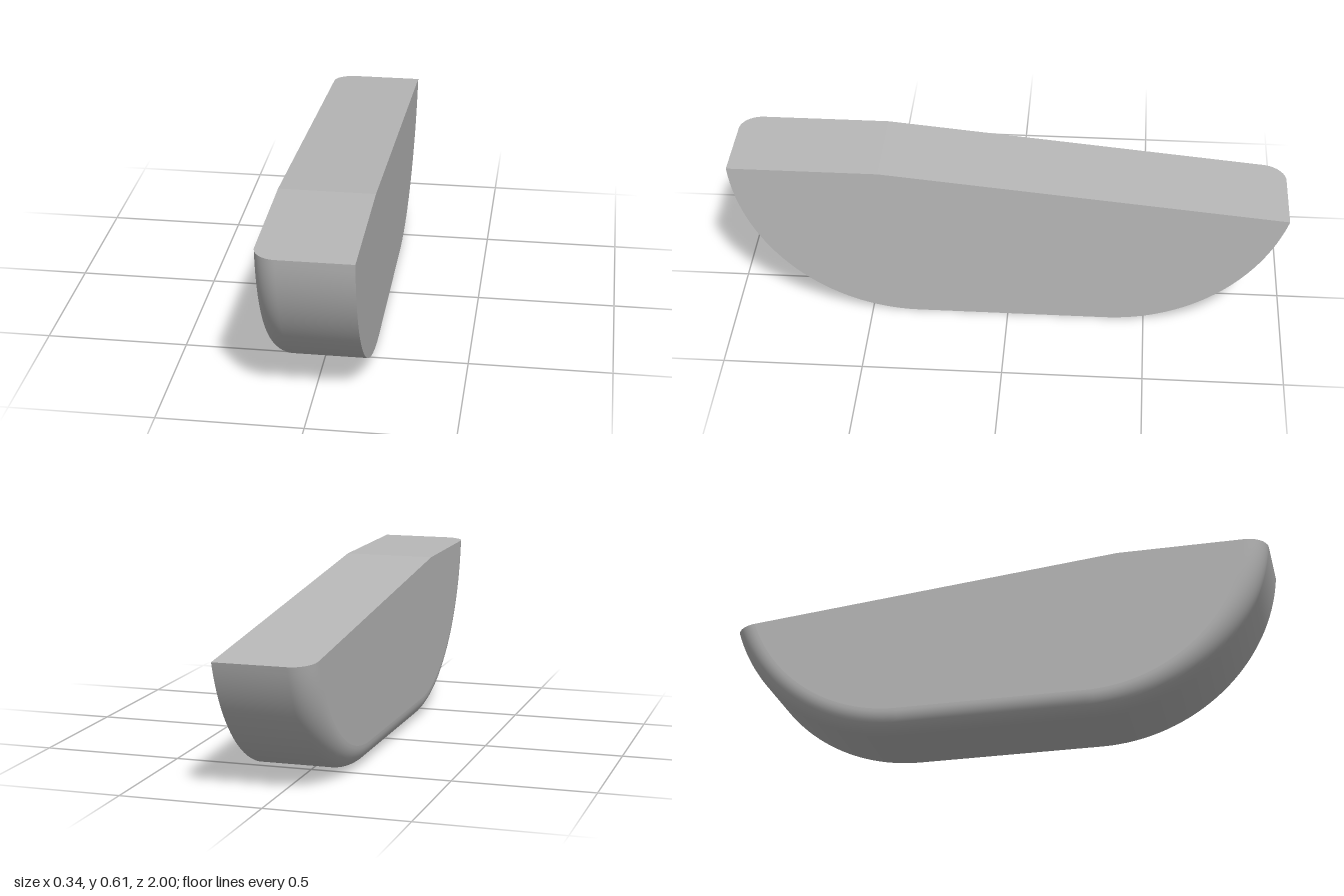
import * as THREE from 'three';

const HALF = 0.168;            // half thickness
const FILLET = 0.08;           // rounding of the underside on the -x side
const R = 0.673;               // radius of both end curves
const FRONT_Z = 0.33, BACK_Z = -0.358; // centres of the end curves
const TOP = 0.61, KINK_Z = 0.46;
const SLOPE = Math.atan(0.14 / 1.46);  // fall of the rear top face
const ARC = 32;

// Underside outline as [z, y], from front tip to back tip, inset by d
function outline(d) {
  const r = R - d, pts = [];
  const arc = (cz, a0, a1) => {
    for (let i = 0; i <= ARC; i++) {
      const a = a0 + (a1 - a0) * i / ARC;
      pts.push([cz + r * Math.cos(a), R + r * Math.sin(a)]);
    }
  };
  const lineY = TOP - (KINK_Z - BACK_Z) * Math.tan(SLOPE);
  const h = (R - lineY) * Math.cos(SLOPE);
  arc(FRONT_Z, -Math.asin((R - TOP) / r), -Math.PI / 2);
  arc(BACK_Z, -Math.PI / 2, -Math.PI + SLOPE + Math.asin(h / r));
  return pts;
}

// Surface through rows of [x, y, z] points
function loft(rows, flip) {
  const n = rows[0].length, index = [];
  for (let i = 0; i < rows.length - 1; i++) {
    for (let j = 0; j < n - 1; j++) {
      const a = i * n + j, b = a + n, c = a + 1, d = b + 1;
      if (flip) index.push(a, c, b, b, c, d);
      else index.push(a, b, c, b, d, c);
    }
  }
  const geo = new THREE.BufferGeometry();
  geo.setAttribute('position', new THREE.Float32BufferAttribute(rows.flat(2), 3));
  geo.setIndex(index);
  geo.computeVertexNormals();
  return geo;
}

export function createModel() {
  const group = new THREE.Group();
  group.name = 'roundedBlock';
  const grey = new THREE.MeshStandardMaterial({ color: 0xb8b8b8 });
  grey.name = 'grey';
  const add = (name, geo) => {
    const mesh = new THREE.Mesh(geo, grey);
    mesh.name = name;
    group.add(mesh);
  };

  // Cross-sections: straight part, then the quarter-round fillet
  const sections = [[HALF, 0]];
  for (let i = 0; i <= 12; i++) {
    const a = i / 12 * Math.PI / 2;
    sections.push([-HALF + FILLET * (1 - Math.sin(a)), FILLET * (1 - Math.cos(a))]);
  }
  const rows = sections.map(([x, d]) => outline(d).map(([z, y]) => [x, y, z]));
  add('curvedUnderside', loft(rows, false));

  // Level front top and sloping rear top
  add('levelTop', loft(rows.map(r => [r[0], [r[0][0], TOP, KINK_Z]]), true));
  add('slopingTop', loft(rows.map(r => [[r[0][0], TOP, KINK_Z], r[r.length - 1]]), true));

  // Flat side faces
  for (const side of [1, -1]) {
    const pts = [...outline(side > 0 ? 0 : FILLET), [KINK_Z, TOP]];
    const shape = new THREE.Shape(pts.map(([z, y]) => new THREE.Vector2(-side * z, y)));
    const geo = new THREE.ShapeGeometry(shape);
    geo.rotateY(side * Math.PI / 2);
    geo.translate(side * HALF, 0, 0);
    add(side > 0 ? 'leftSide' : 'rightSide', geo);
  }
  return group;
}
